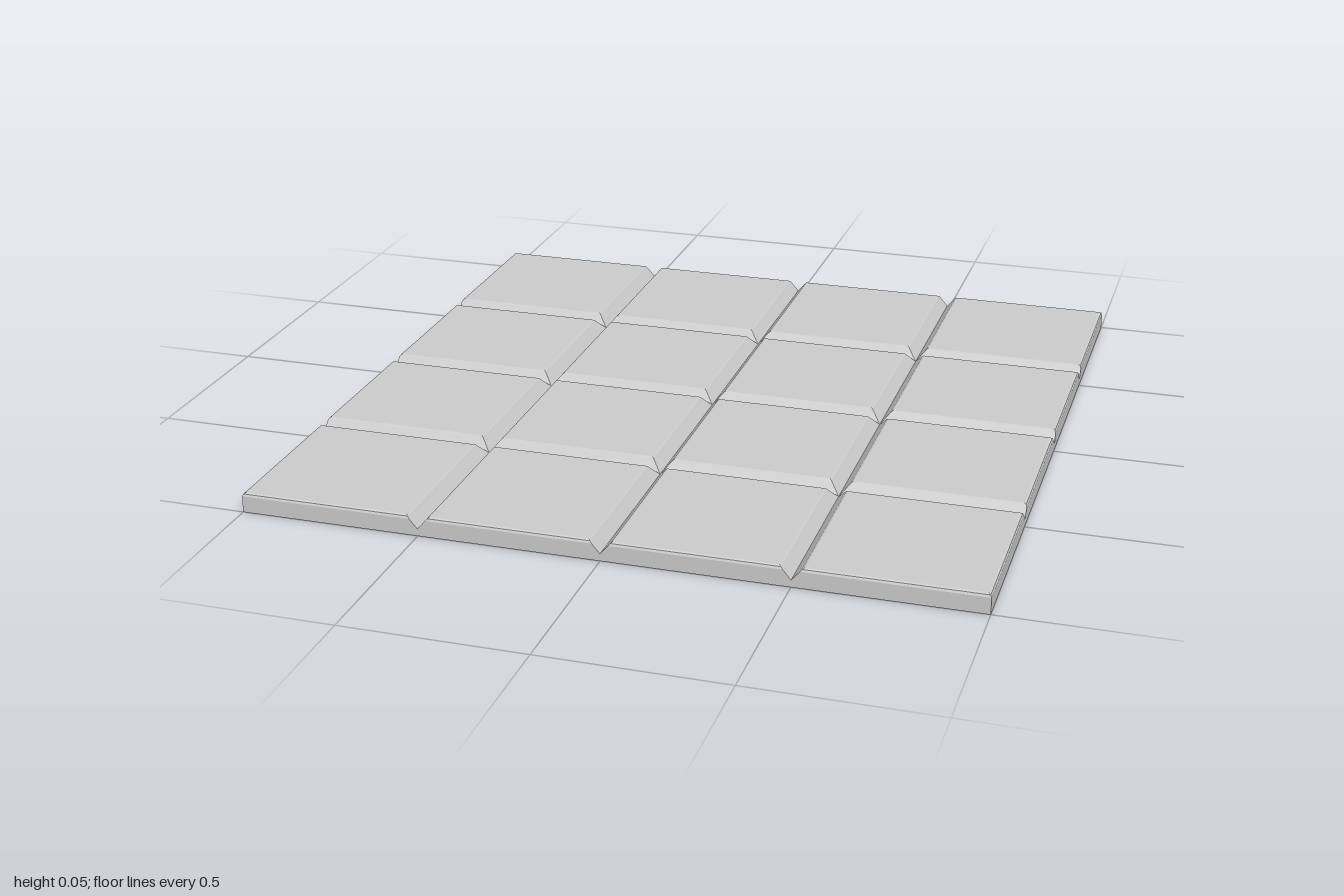
import * as THREE from 'three';

const COUNT = 4, SIZE = 2 / COUNT, BASE = 0.02;
// Tile cross-section: height, inset at a groove, inset at the outer rim
const PROFILE = [
  [BASE, 0, 0],
  [0.046, 0.022, 0],
  [0.052, 0.027, 0.003],
  [0.055, 0.032, 0.009],
];

// Open-bottomed tile lofted through rectangular rings, so neighbours form V grooves
function tileGeometry(col, row) {
  const positions = [], index = [];
  const x0 = -1 + col * SIZE, z0 = -1 + row * SIZE, last = COUNT - 1;
  for (const [y, groove, rim] of PROFILE) {
    const inset = (isRim) => (isRim ? rim : groove);
    const xa = x0 + inset(col === 0), xb = x0 + SIZE - inset(col === last);
    const za = z0 + inset(row === 0), zb = z0 + SIZE - inset(row === last);
    positions.push(xa, y, zb, xb, y, zb, xb, y, za, xa, y, za);
  }
  for (let r = 0; r < PROFILE.length - 1; r++) {
    for (let i = 0; i < 4; i++) {
      const a = r * 4 + i, b = r * 4 + (i + 1) % 4;
      index.push(a, b, b + 4, a, b + 4, a + 4);
    }
  }
  const t = (PROFILE.length - 1) * 4;
  index.push(t, t + 1, t + 2, t, t + 2, t + 3);
  const geometry = new THREE.BufferGeometry();
  geometry.setAttribute('position', new THREE.Float32BufferAttribute(positions, 3));
  geometry.setIndex(index);
  const flat = geometry.toNonIndexed();
  flat.computeVertexNormals();
  return flat;
}

export function createModel() {
  const model = new THREE.Group();
  model.name = 'groovedPanel';
  const material = new THREE.MeshStandardMaterial({ color: 0xcccccc, flatShading: true });

  // Continuous backing below the grooves
  const slab = new THREE.Mesh(new THREE.BoxGeometry(2, BASE, 2), material);
  slab.name = 'baseSlab';
  slab.position.y = BASE / 2;
  model.add(slab);

  // Bevelled tiles
  const tiles = new THREE.Group();
  tiles.name = 'tiles';
  for (let row = 0; row < COUNT; row++) {
    for (let col = 0; col < COUNT; col++) {
      const tile = new THREE.Mesh(tileGeometry(col, row), material);
      tile.name = `tileRow${row + 1}Column${col + 1}`;
      tiles.add(tile);
    }
  }
  model.add(tiles);
  return model;
}
